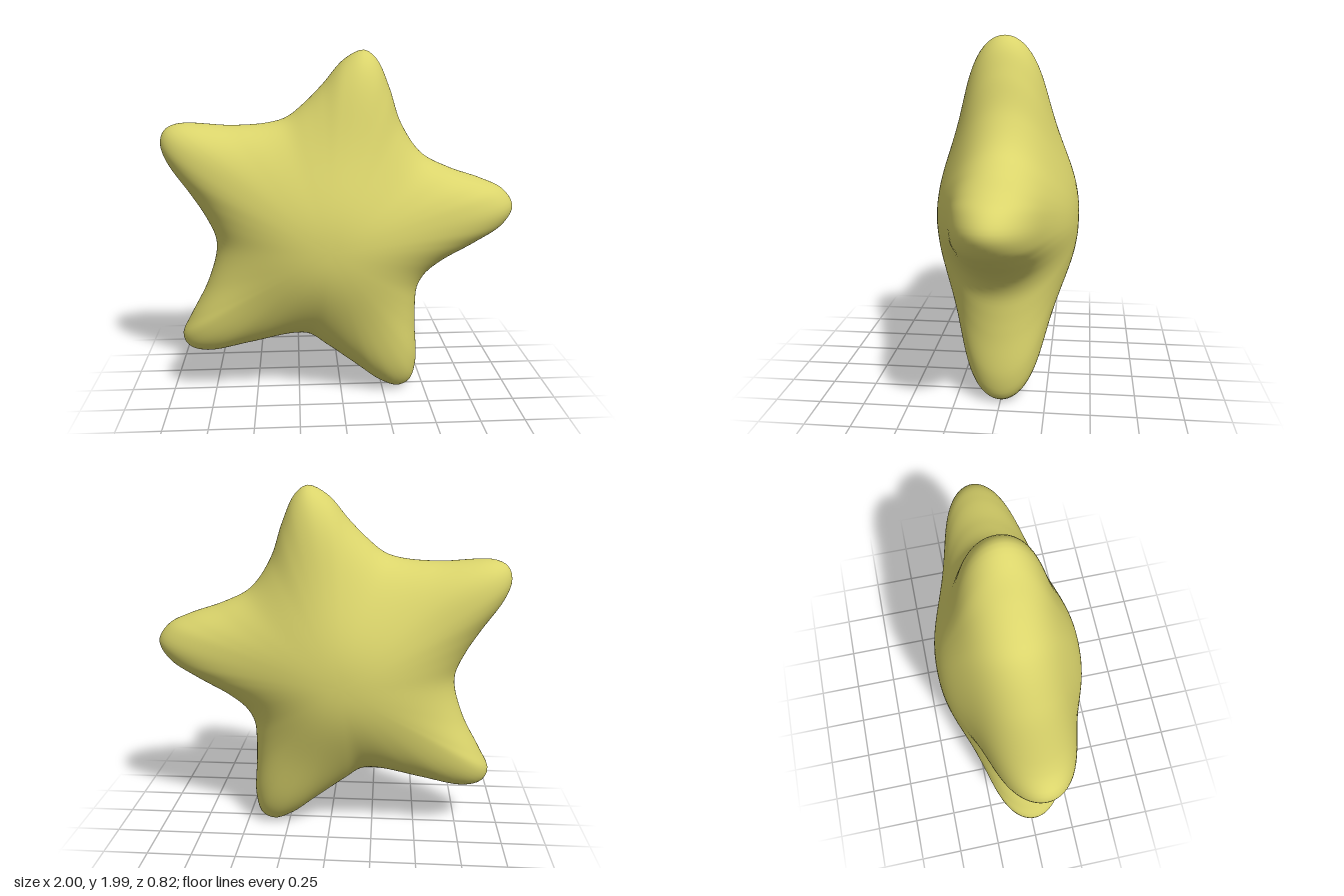
import * as THREE from 'three';

// Outline of the five arms, clockwise seen from the front
const OUTLINE = [
  [0.13, 2.0], [0.2, 1.95], [0.27, 1.8], [0.34, 1.6], [0.46, 1.43], [0.62, 1.345],
  [0.82, 1.275], [0.94, 1.215], [1.0, 1.12], [0.95, 1.02], [0.8, 0.92], [0.6, 0.81],
  [0.5, 0.73], [0.453, 0.645], [0.443, 0.53], [0.445, 0.4], [0.455, 0.16], [0.42, 0.04], [0.35, 0.005],
  [0.24, 0.045], [0.1, 0.15], [-0.09, 0.295], [-0.19, 0.365], [-0.29, 0.37], [-0.55, 0.315],
  [-0.8, 0.27], [-0.9, 0.3], [-0.93, 0.37], [-0.88, 0.48], [-0.775, 0.68], [-0.715, 0.87],
  [-0.715, 0.96], [-0.77, 1.09], [-0.85, 1.22], [-0.97, 1.4], [-1.0, 1.5], [-0.975, 1.57],
  [-0.9, 1.605], [-0.6, 1.593], [-0.4, 1.607], [-0.3, 1.637], [-0.2, 1.715], [-0.1, 1.815], [0.02, 1.95],
];
const CENTRE = new THREE.Vector3(-0.08, 0.97, 0);
const COLS = 240, ROWS = 80;

// Half thickness: a central dome over evenly thick arms, rounded off at the rim
function halfThickness(radius, fraction) {
  const dome = 0.25 + 0.162 * Math.exp(-Math.pow(radius / 0.47, 2.3));
  return dome * Math.sqrt(Math.max(0, 1 - fraction ** 4));
}

function inflatedStar() {
  const rim = new THREE.CatmullRomCurve3(
    OUTLINE.map(([x, y]) => new THREE.Vector3(x, y, 0)), true, 'centripetal').getSpacedPoints(COLS);

  // Front pole, scaled rings from front to back, back pole
  const pole = halfThickness(0, 0);
  const pos = [CENTRE.x, CENTRE.y, pole];
  for (let i = 1; i < ROWS; i++) {
    const s = Math.sin(Math.PI * i / ROWS);
    const side = Math.sign(ROWS / 2 - i);
    for (let j = 0; j < COLS; j++) {
      const d = rim[j].clone().sub(CENTRE).multiplyScalar(s);
      pos.push(CENTRE.x + d.x, CENTRE.y + d.y, side * halfThickness(d.length(), s));
    }
  }
  pos.push(CENTRE.x, CENTRE.y, -pole);

  const last = pos.length / 3 - 1;
  const at = (i, j) => 1 + (i - 1) * COLS + (j % COLS);
  const index = [];
  for (let j = 0; j < COLS; j++) {
    index.push(0, at(1, j + 1), at(1, j));
    for (let i = 1; i < ROWS - 1; i++) {
      const a = at(i, j), b = at(i + 1, j), c = at(i + 1, j + 1), d = at(i, j + 1);
      index.push(a, c, b, a, d, c);
    }
    index.push(last, at(ROWS - 1, j), at(ROWS - 1, j + 1));
  }
  const g = new THREE.BufferGeometry();
  g.setAttribute('position', new THREE.Float32BufferAttribute(pos, 3));
  g.setIndex(index);
  g.computeVertexNormals();
  return g;
}

export function createModel() {
  const group = new THREE.Group();
  group.name = 'star';
  const yellow = new THREE.MeshStandardMaterial({ color: 0xdad46b });
  yellow.name = 'soft yellow';
  const body = new THREE.Mesh(inflatedStar(), yellow);
  body.name = 'starBody';
  group.add(body);
  return group;
}
